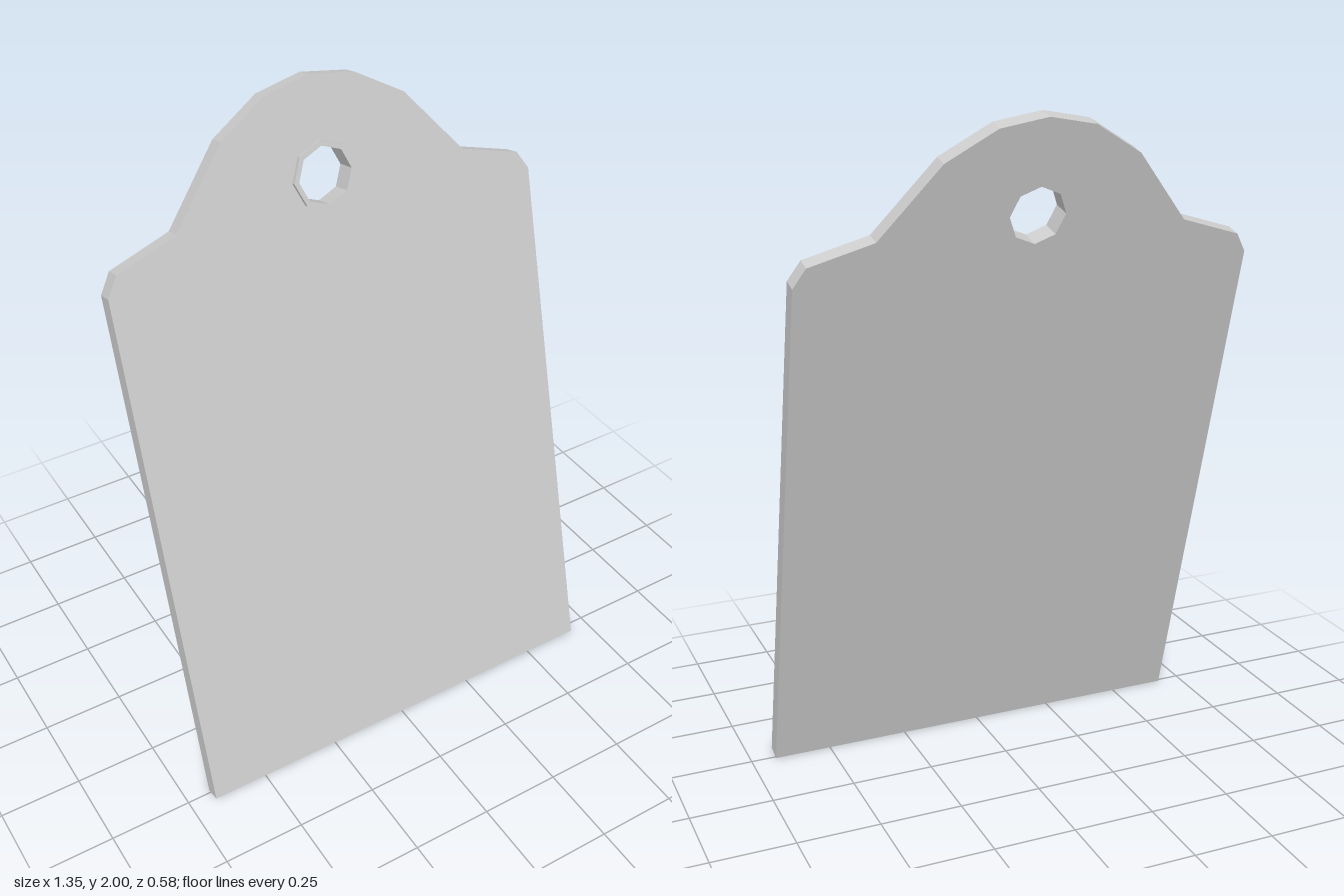
import * as THREE from 'three';

const TILT = THREE.MathUtils.degToRad(15);
const THICK = 0.05;
const HOLE_Y = 1.78;

// Regular octagon with corners on the axes
function octagon(target, r, cy) {
  const pts = [];
  for (let i = 0; i < 8; i++) {
    const a = (i * Math.PI) / 4;
    pts.push(new THREE.Vector2(r * Math.cos(a), cy + r * Math.sin(a)));
  }
  return target.setFromPoints(pts);
}

function extrude(name, shape, depth, material) {
  const geometry = new THREE.ExtrudeGeometry(shape, { depth, bevelEnabled: false });
  const mesh = new THREE.Mesh(geometry, material);
  mesh.name = name;
  return mesh;
}

export function createModel() {
  const group = new THREE.Group();
  group.name = 'hangingBoard';
  const material = new THREE.MeshStandardMaterial({ color: 0xcccccc, flatShading: true });

  // Board outline: right half, then mirrored around the rounded crown
  const half = [[0.675, 0], [0.675, 1.622], [0.64, 1.679], [0.455, 1.736], [0.285, 1.943], [0.14, 2.031]];
  const outline = [
    ...half,
    [0, 2.057],
    ...half.map(([x, y]) => [-x, y]).reverse(),
  ].map(([x, y]) => new THREE.Vector2(x, y));
  const boardShape = new THREE.Shape(outline);
  boardShape.holes.push(octagon(new THREE.Path(), 0.083, HOLE_Y));
  const board = extrude('board', boardShape, THICK, material);
  board.position.z = -THICK;

  // Raised rim around the hole on the front face
  const rimShape = octagon(new THREE.Shape(), 0.098, HOLE_Y);
  rimShape.holes.push(octagon(new THREE.Path(), 0.083, HOLE_Y));
  const rim = extrude('holeRim', rimShape, 0.012, material);

  // Lean the board back, resting on its lower back edge
  const leaning = new THREE.Group();
  leaning.name = 'leaningBoard';
  leaning.add(board, rim);
  leaning.rotation.x = -TILT;
  leaning.position.set(0, THICK * Math.sin(TILT), 0.29);
  group.add(leaning);
  return group;
}
